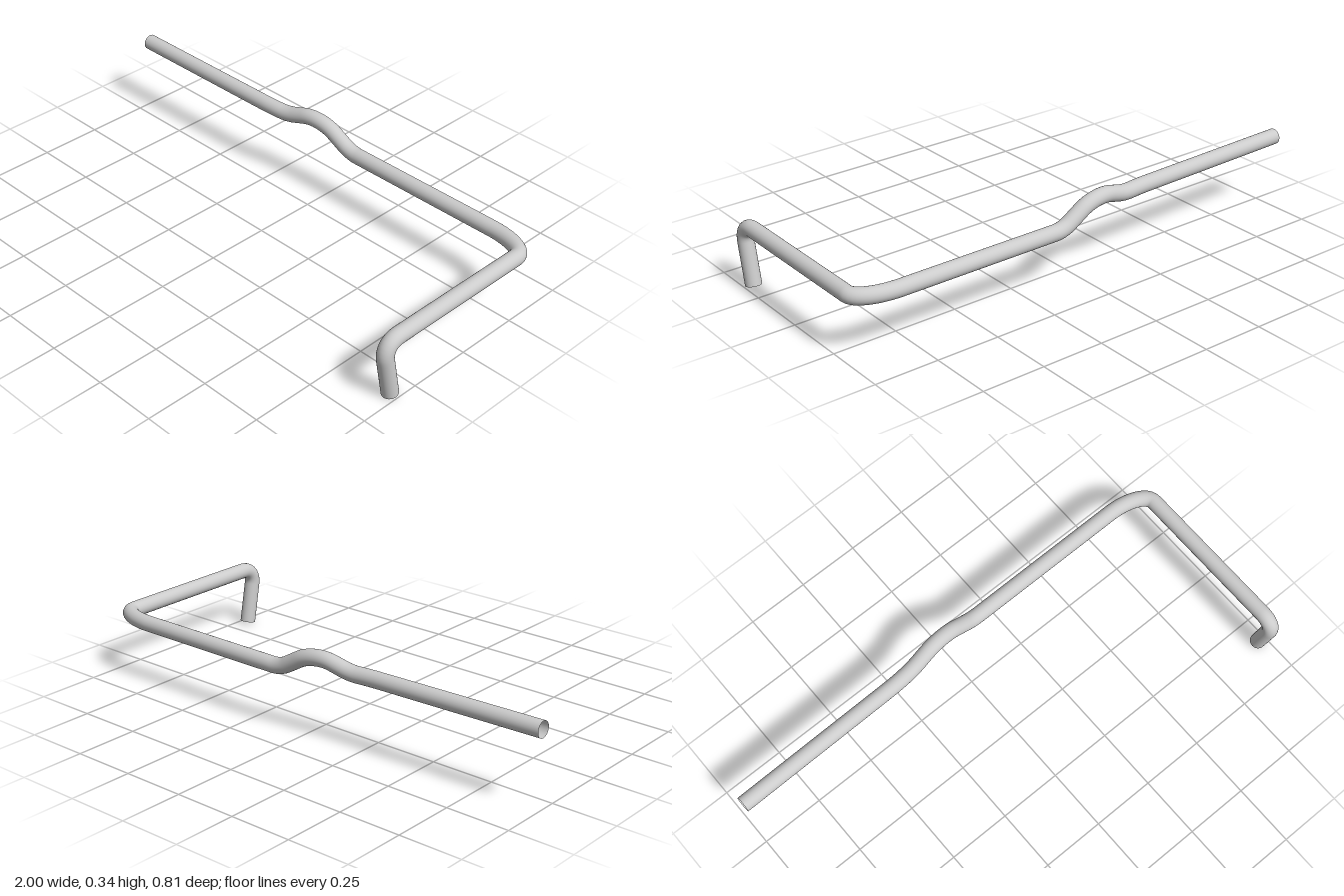
import * as THREE from 'three';

const RADIUS = 0.031;

// Corners of the pipe's centre line: x, y, z, bend length on the incoming and outgoing side
const CORNERS = [
  [-1, 0.297, -0.322, 0, 0],
  [-0.28, 0.289, -0.334, 0.04, 0.04],
  [-0.2, 0.288, -0.342, 0.03, 0.03],
  [-0.047, 0.332, -0.362, 0.08, 0.08],
  [0.11, 0.24, -0.37, 0.035, 0.035],
  [0.967, 0.24, -0.372, 0.17, 0.075],
  [0.967, 0.24, 0.386, 0.071, 0.071],
  [0.967, 0.009, 0.34, 0, 0],
];

// Straight runs joined by smooth bends
function bentPath(corners) {
  const path = new THREE.CurvePath();
  const pts = corners.map(([x, y, z]) => new THREE.Vector3(x, y, z));
  const toward = (a, b, d) => b.clone().sub(a).setLength(d).add(a);
  let from = pts[0];
  for (let i = 1; i < pts.length - 1; i++) {
    const p = pts[i];
    const start = toward(p, pts[i - 1], corners[i][3]);
    const end = toward(p, pts[i + 1], corners[i][4]);
    path.add(new THREE.LineCurve3(from, start));
    path.add(new THREE.CubicBezierCurve3(
      start, start.clone().lerp(p, 0.57), end.clone().lerp(p, 0.57), end));
    from = end;
  }
  path.add(new THREE.LineCurve3(from, pts[pts.length - 1]));
  return path;
}

export function createModel() {
  const group = new THREE.Group();
  group.name = 'bentPipe';

  // Hollow pipe with open ends
  const pipe = new THREE.Mesh(
    new THREE.TubeGeometry(bentPath(CORNERS), 260, RADIUS, 32, false),
    new THREE.MeshStandardMaterial({ color: 0xcccccc, side: THREE.DoubleSide }),
  );
  pipe.name = 'pipe';
  group.add(pipe);
  return group;
}
